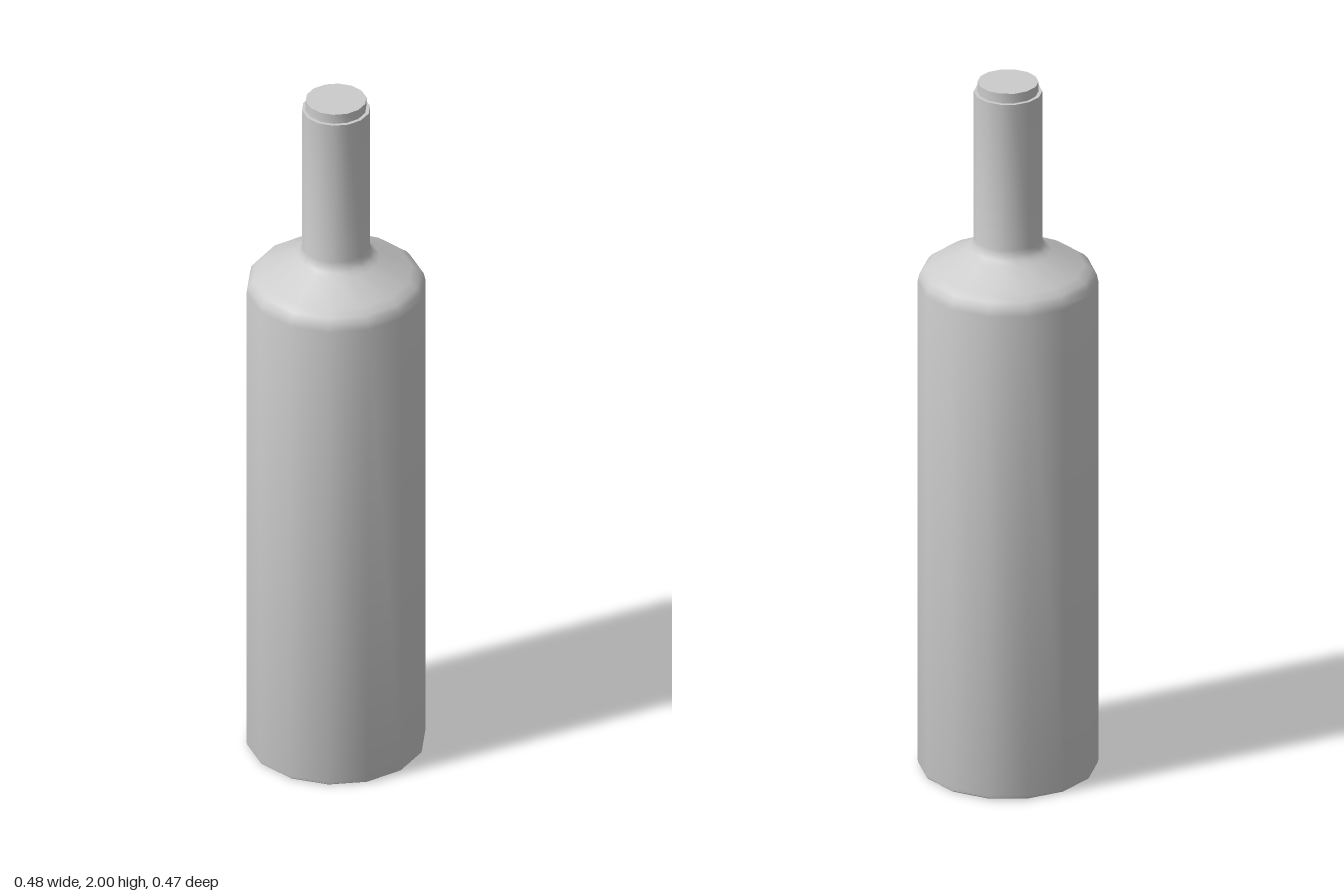
import * as THREE from 'three';
import { toCreasedNormals } from 'three/addons/utils/BufferGeometryUtils.js';

const SIDES = 14;

export function createModel() {
  const group = new THREE.Group();
  group.name = 'bottle';
  const material = new THREE.MeshStandardMaterial({ color: 0xcccccc });

  // Revolves a profile of [radius, height] points, with a corner on the x axis
  const addTurned = (name, profile) => {
    const points = profile.map(([r, y]) => new THREE.Vector2(r, y));
    const lathe = new THREE.LatheGeometry(points, SIDES, Math.PI / 2);
    const mesh = new THREE.Mesh(toCreasedNormals(lathe, 0.62), material);
    mesh.name = name;
    group.add(mesh);
  };

  // Glass body: base, chamfer, wall, rounded shoulder, neck and lip
  addTurned('bottleBody', [
    [0, 0], [0.235, 0], [0.24, 0.004], [0.242, 0.012],
    [0.242, 1.415], [0.238, 1.435], [0.226, 1.45], [0.205, 1.464],
    [0.118, 1.508], [0.103, 1.519], [0.095, 1.53], [0.092, 1.545],
    [0.092, 1.972], [0.08, 1.972],
  ]);

  // Stopper standing just above the lip
  addTurned('stopper', [[0.082, 1.96], [0.082, 2], [0, 2]]);

  return group;
}
